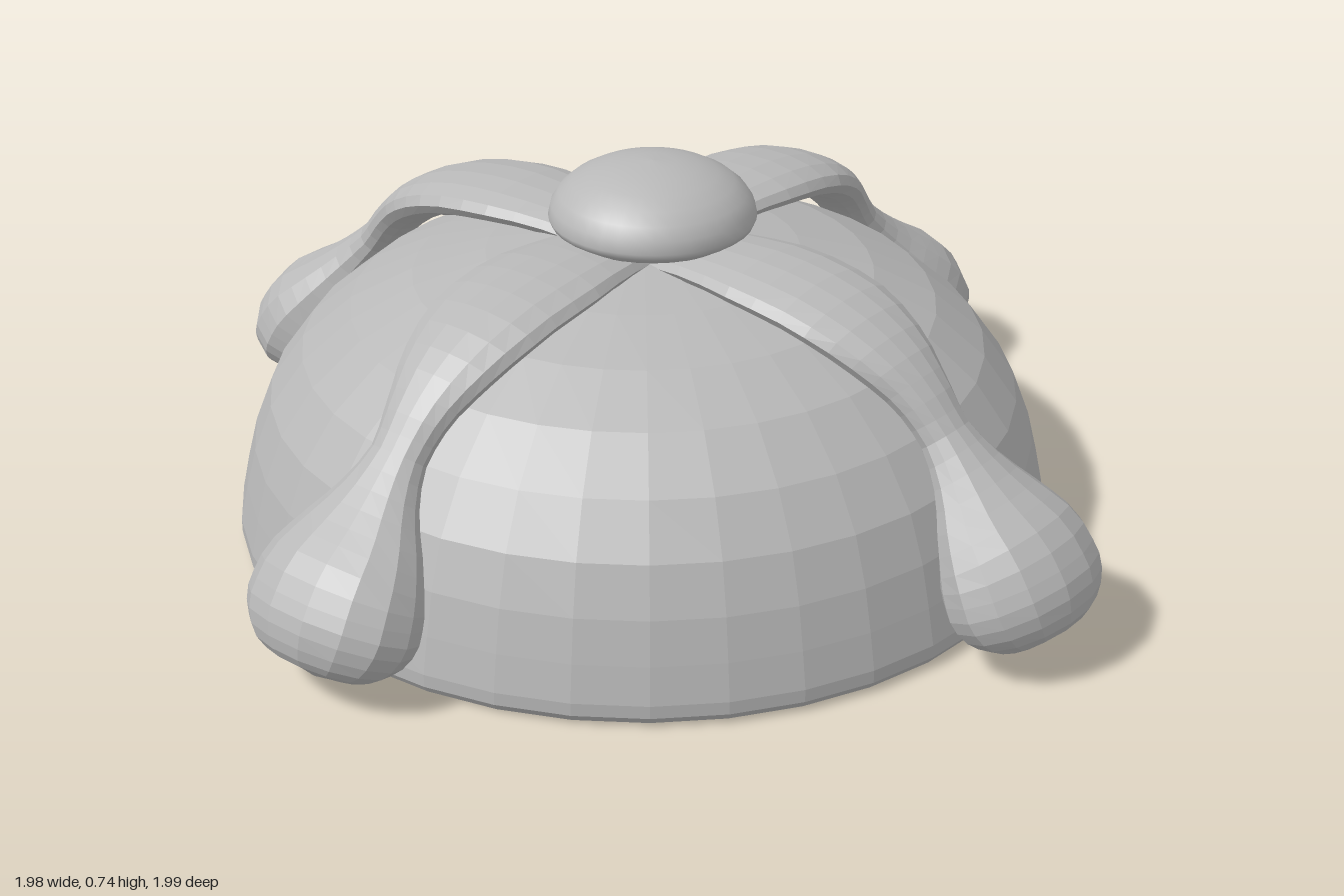
import * as THREE from 'three';

// Strap sections: distance from centre, height, half width, half thickness
const SECTIONS = [
  [0.03, 0.575, 0.09, 0.03],
  [0.18, 0.59, 0.11, 0.033],
  [0.32, 0.587, 0.13, 0.04],
  [0.45, 0.562, 0.125, 0.043],
  [0.55, 0.513, 0.1, 0.044],
  [0.62, 0.455, 0.07, 0.04],
  [0.67, 0.395, 0.058, 0.04],
  [0.725, 0.33, 0.085, 0.055],
  [0.775, 0.265, 0.135, 0.085],
  [0.82, 0.205, 0.17, 0.115],
  [0.85, 0.15, 0.178, 0.122],
  [0.875, 0.1, 0.155, 0.105],
  [0.89, 0.068, 0.1, 0.065],
  [0.9, 0.052, 0.002, 0.002],
];

// Bone-shaped strap running outward along +z, lofted through elliptical rings
function strapGeometry(sides = 14, steps = 30) {
  const path = new THREE.CatmullRomCurve3(SECTIONS.map(([r, y]) => new THREE.Vector3(0, y, r)));
  const size = new THREE.CatmullRomCurve3(SECTIONS.map(([, , w, t]) => new THREE.Vector3(w, t, 0)));
  const positions = [];
  const indices = [];
  for (let i = 0; i <= steps; i++) {
    const u = i / steps;
    const c = path.getPoint(u);
    const t = path.getTangent(u);
    const s = size.getPoint(u);
    for (let j = 0; j < sides; j++) {
      const a = (j / sides) * Math.PI * 2;
      const across = Math.cos(a) * Math.max(s.x, 0.001);
      const out = Math.sin(a) * Math.max(s.y, 0.001);
      positions.push(across, c.y + t.z * out, c.z - t.y * out);
      if (i < steps) {
        const p = i * sides + j;
        const q = i * sides + ((j + 1) % sides);
        indices.push(p, q, p + sides, q, q + sides, p + sides);
      }
    }
  }
  const g = new THREE.BufferGeometry();
  g.setAttribute('position', new THREE.Float32BufferAttribute(positions, 3));
  g.setIndex(indices);
  const flat = g.toNonIndexed();
  flat.computeVertexNormals();
  return flat;
}

// Turned shape from [radius, height] points
function lathe(points, segments) {
  return new THREE.LatheGeometry(points.map(([r, y]) => new THREE.Vector2(r, y)), segments);
}

function facet(geometry) {
  const g = geometry.toNonIndexed();
  g.computeVertexNormals();
  return g;
}

export function createModel() {
  const model = new THREE.Group();
  model.name = 'roundBread';
  const dough = new THREE.MeshStandardMaterial({ color: 0xb8b8b8 });
  dough.name = 'dough grey';

  const add = (name, geometry, x = 0, y = 0, z = 0) => {
    const mesh = new THREE.Mesh(geometry, dough);
    mesh.name = name;
    mesh.position.set(x, y, z);
    model.add(mesh);
    return mesh;
  };

  // Domed loaf with a flat base and a softly rounded lower rim
  add('loaf', facet(lathe([
    [0, 0.005], [0.76, 0.005], [0.78, 0.01], [0.79, 0.025], [0.79, 0.05], [0.775, 0.12],
    [0.755, 0.2], [0.72, 0.29], [0.655, 0.38], [0.56, 0.46], [0.44, 0.52],
    [0.3, 0.56], [0.15, 0.585], [0, 0.59],
  ], 36)), -0.02, 0, -0.003);

  // Smooth knob on top
  const knob = [];
  for (let i = 0; i <= 14; i++) {
    const a = -Math.PI / 2 + (i / 14) * Math.PI;
    knob.push([Math.max(0, Math.cos(a) * 0.197), Math.sin(a) * (a < 0 ? 0.055 : 0.107)]);
  }
  add('topKnob', lathe(knob, 36), -0.02, 0.638, 0.02);

  // Four straps ending in rounded bulbs
  const strap = strapGeometry();
  strap.computeBoundingBox();
  const tip = strap.boundingBox.max.z;
  [
    ['frontStrap', 0, 0.99, -0.02, 0],
    ['leftStrap', 1, 0.985, 0, -0.01],
    ['backStrap', 2, 1.0, -0.02, 0],
    ['rightStrap', 3, 0.99, 0, -0.01],
  ].forEach(([name, turn, reach, x, z]) => {
    const mesh = add(name, strap, x, 0, z);
    mesh.rotation.y = (turn * Math.PI) / 2;
    mesh.scale.z = reach / tip;
  });

  return model;
}
